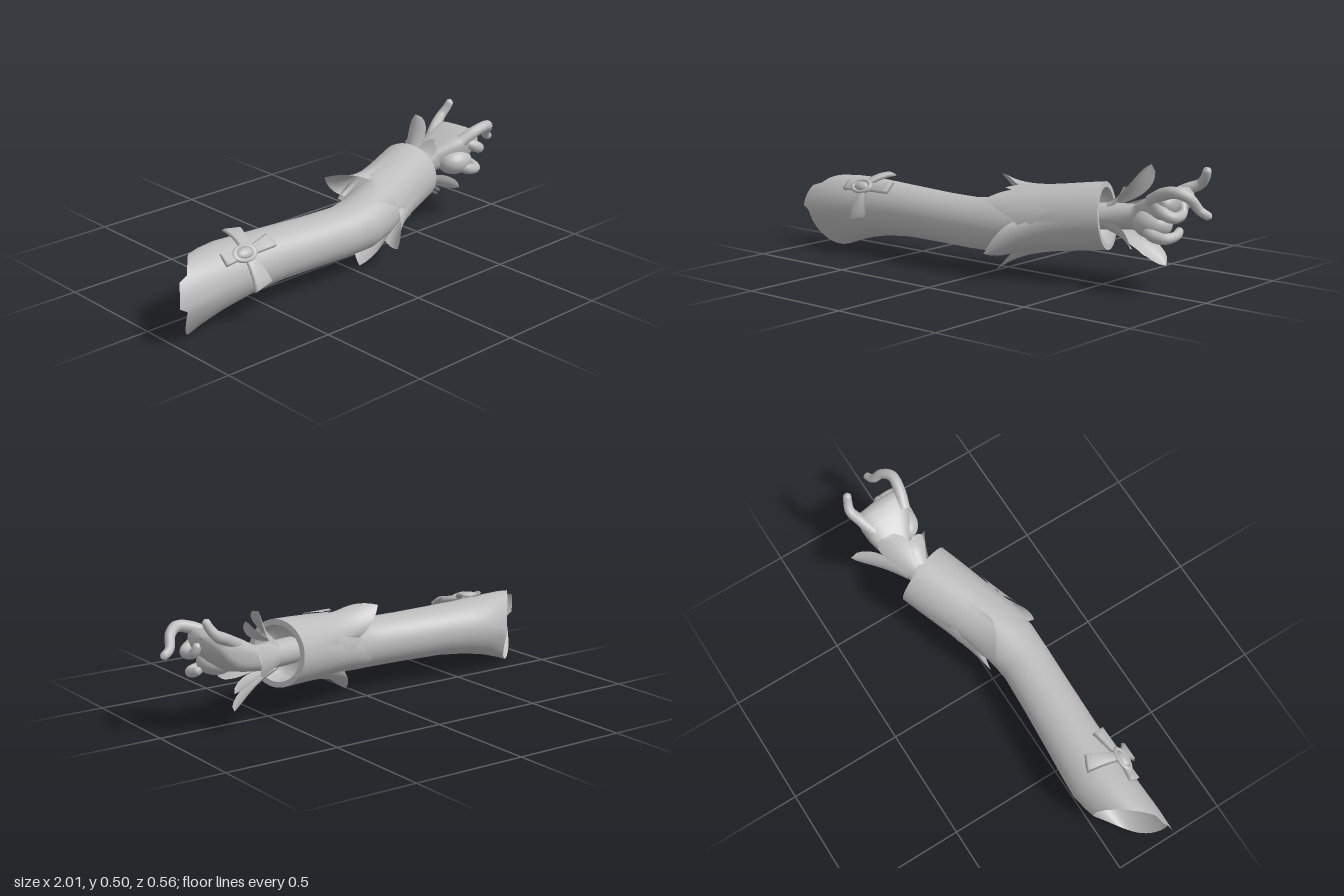
import * as THREE from 'three';

const V = (x, y, z) => new THREE.Vector3(x, y, z);
const grey = new THREE.MeshStandardMaterial({ color: 0xbcbcbc, side: THREE.DoubleSide });
grey.name = 'plain grey';

// Skin rows of points; closed rows wrap round
function loft(rows, closed = true) {
  const n = rows[0].length, pos = [], idx = [];
  rows.forEach(row => row.forEach(p => pos.push(p.x, p.y, p.z)));
  for (let i = 0; i < rows.length - 1; i++) {
    for (let j = 0; j < (closed ? n : n - 1); j++) {
      const a = i * n + j, b = i * n + (j + 1) % n, c = a + n, d = b + n;
      idx.push(a, b, c, b, d, c);
    }
  }
  const g = new THREE.BufferGeometry();
  g.setAttribute('position', new THREE.Float32BufferAttribute(pos, 3));
  g.setIndex(idx);
  g.computeVertexNormals();
  return g;
}

// Ring of points; oval with an exponent below 1 for squarer sections
const ring = (n, f) => Array.from({ length: n }, (_, j) => f(j / n * Math.PI * 2));
const soft = (v, e) => Math.sign(v) * Math.abs(v) ** e;
const oval = (c, w, u, n = 20, e = 1) => ring(n, a =>
  c.clone().addScaledVector(w, soft(Math.cos(a), e)).addScaledVector(u, soft(Math.sin(a), e)));

// Tapered round-ended finger along a smooth path
function finger(points, r0, r1) {
  const curve = new THREE.CatmullRomCurve3(points.map(p => V(...p)));
  const N = 28, fr = curve.computeFrenetFrames(N), len = curve.getLength(), rows = [];
  for (let i = 0; i <= N; i++) {
    const t = i / N, left = (1 - t) * len;
    let r = r0 + (r1 - r0) * t;
    if (left < r1) r *= Math.sqrt(Math.max(0.0001, 1 - (1 - left / r1) ** 2));
    rows.push(oval(curve.getPointAt(t), fr.normals[i].clone().multiplyScalar(r),
      fr.binormals[i].clone().multiplyScalar(r), 12));
  }
  return loft(rows);
}

// Round-ended petal from a base point to a tip, cupped around the wrist
function petal(base, tip, width, axisPoint) {
  const along = tip.clone().sub(base);
  const out = tip.clone().sub(axisPoint);
  out.addScaledVector(along, -out.dot(along) / along.lengthSq()).normalize();
  const side = along.clone().cross(out).normalize();
  const rows = [];
  for (let i = 0; i <= 14; i++) {
    const t = i / 14, w = width * (0.45 + 0.55 * Math.sin(Math.PI * t / 1.5)) * Math.sqrt(1 - t ** 5);
    rows.push(Array.from({ length: 7 }, (_, j) => {
      const s = j / 3 - 1;
      return base.clone().addScaledVector(along, t).addScaledVector(side, s * w)
        .addScaledVector(out, -0.015 * Math.sin(Math.PI * t) - 0.3 * w * s * s);
    }));
  }
  return loft(rows, false);
}

export function createModel() {
  const model = new THREE.Group();
  model.name = 'sleevedArm';
  const add = (name, geo, parent = model) => {
    const m = new THREE.Mesh(geo, grey);
    m.name = name;
    parent.add(m);
    return m;
  };

  // Sleeve: x, y, z, height radius, depth radius, slant, pinch underneath, front tab
  const sleeve = [
    [-0.88, 0.165, 0.118, 0.16, 0.12, 0.1, 0.35, 0.035], [-0.82, 0.178, 0.11, 0.152, 0.127, 0.085, 0.25, 0],
    [-0.72, 0.193, 0.1, 0.137, 0.13, 0.05, 0.1, 0], [-0.6, 0.202, 0.098, 0.122, 0.123, 0.015, 0, 0],
    [-0.45, 0.207, 0.103, 0.112, 0.118, 0, 0, 0], [-0.25, 0.205, 0.113, 0.108, 0.113, 0, 0, 0],
    [-0.08, 0.205, 0.12, 0.108, 0.111, 0, 0, 0], [0.02, 0.212, 0.115, 0.114, 0.116, -0.03, 0, 0],
    [0.12, 0.225, 0.09, 0.116, 0.114, -0.04, 0, 0], [0.25, 0.245, 0.045, 0.11, 0.108, -0.04, 0, 0],
  ];
  add('sleeve', loft(sleeve.map(([x, y, z, h, d, k, pinch, tab]) => ring(48, a => {
    const c = Math.cos(a), s = Math.sin(a);
    const bump = a > 0.1 && a < 0.8 ? tab : 0;
    return V(x - k * c - bump, y + h * s, z + d * c * (1 - pinch * Math.max(0, -s)));
  }))));

  // Cuff: a wide tube whose rear edge flares into pointed leaves
  const A = V(0.04, 0.235, 0.115), axis = V(0.445, 0.045, -0.165), L = axis.length();
  axis.normalize();
  const U = V(0, 1, 0).addScaledVector(axis, -axis.y).normalize();
  const W = U.clone().cross(axis).negate();
  const cuffPoint = (s, r, a) => A.clone().addScaledVector(axis, s)
    .addScaledVector(W, r * Math.cos(a)).addScaledVector(U, r * Math.sin(a));
  // Leaf angle in degrees, reach, flare
  const leaves = [[-33, 0.12, 0.08], [-90, 0.14, 0.09], [48, 0.13, 0.005],
    [132, 0.13, 0.1], [205, 0.12, 0.03]];
  const cuffRows = [];
  for (let i = 0; i <= 16; i++) {
    const v = i / 16;
    cuffRows.push(ring(120, a => {
      let reach = 0, flare = 0;
      for (const [deg, len, out] of leaves) {
        const da = a - deg * Math.PI / 180;
        const off = Math.abs(Math.atan2(Math.sin(da), Math.cos(da)));
        const h = Math.max(0, 1 - off / 0.62) ** 0.8;
        reach = Math.max(reach, len * h);
        flare = Math.max(flare, out * h);
      }
      const s0 = 0.11 - reach;
      const r = 0.127 + 0.013 * Math.sin(v * Math.PI / 2) + flare * (1 - v) ** 4;
      return cuffPoint(s0 + (L - s0) * v, r, a);
    }));
  }
  add('cuff', loft(cuffRows));
  const cuffBand = sr => loft(sr.map(([s, r]) => ring(48, a => cuffPoint(s, r, a))));
  add('cuffRim', cuffBand([[L, 0.14], [L, 0.117]]));
  add('cuffLining', cuffBand([[L, 0.117], [L - 0.09, 0.112], [L - 0.1, 0.04]]));

  // Raised leaf plates lying over the cuff: angle, start, length
  for (const [deg, s, len] of [[20, 0.07, 0.2], [75, 0.06, 0.2], [-35, 0.1, 0.15], [165, 0.06, 0.18]]) {
    const rows = [];
    for (let i = 0; i <= 12; i++) {
      const t = i / 12, half = 0.36 * Math.sin(Math.PI * t) * (1 + 0.2 * Math.cos(t * 19));
      rows.push(Array.from({ length: 7 }, (_, j) =>
        cuffPoint(s + len * t, 0.142, deg * Math.PI / 180 + half * (j / 3 - 1))));
    }
    add('cuffLeaf', loft(rows, false));
  }

  // Wrist and palm: centre, half width, half thickness
  const across = V(0.08, 0, 1).normalize();
  const palm = [
    [0.35, 0.27, 0, 0.06, 0.055], [0.5, 0.28, -0.055, 0.058, 0.055],
    [0.6, 0.285, -0.082, 0.055, 0.052], [0.66, 0.3, -0.082, 0.072, 0.06],
    [0.72, 0.322, -0.073, 0.1, 0.07], [0.77, 0.352, -0.066, 0.115, 0.066],
    [0.81, 0.382, -0.064, 0.118, 0.05], [0.83, 0.398, -0.064, 0.105, 0.032],
    [0.838, 0.404, -0.064, 0.001, 0.001],
  ];
  add('palm', loft(palm.map(([x, y, z, w, t], i) => {
    const up = i < 3 ? V(0, 1, 0) : V(-0.5, 0.86, 0);
    return oval(V(x, y, z), across.clone().multiplyScalar(w), up.multiplyScalar(t), 32, i < 3 ? 1 : 0.7);
  })));
  const mound = add('thumbMound', new THREE.SphereGeometry(1, 20, 14));
  mound.scale.set(0.085, 0.06, 0.07);
  mound.position.set(0.74, 0.285, -0.005);

  // Fingers
  const fingers = {
    indexFinger: [[0.75, 0.38, 0.02], [0.82, 0.418, 0.042], [0.885, 0.432, 0.048],
      [0.93, 0.41, 0.02], [0.955, 0.36, -0.015], [1.0, 0.335, -0.03]],
    middleFinger: [[0.78, 0.37, 0.02], [0.825, 0.345, 0.05], [0.86, 0.328, 0.03],
      [0.86, 0.335, -0.035], [0.845, 0.38, -0.055]],
    thumb: [[0.72, 0.28, 0.02], [0.78, 0.25, 0.05], [0.83, 0.242, 0.042],
      [0.85, 0.25, -0.01], [0.84, 0.27, -0.052]],
    littleFinger: [[0.73, 0.37, -0.14], [0.79, 0.408, -0.17], [0.84, 0.432, -0.19],
      [0.868, 0.465, -0.182], [0.885, 0.505, -0.17]],
  };
  for (const [name, path] of Object.entries(fingers)) add(name, finger(path, 0.029, 0.017));

  // Petals round the wrist: tip, half width
  const hub = V(0.5, 0.28, -0.055);
  const tips = [[0.63, 0.495, -0.15, 0.065], [0.7, 0.315, -0.28, 0.065], [0.73, 0.095, -0.12, 0.055],
    [0.69, 0.19, 0.075, 0.04], [0.6, 0.42, 0.0, 0.045], [0.68, 0.14, -0.04, 0.035]];
  for (const [x, y, z, w] of tips) {
    const out = V(0, y - hub.y, z - hub.z).normalize();
    add('wristPetal', petal(hub.clone().addScaledVector(out, 0.062), V(x, y, z), w, hub));
  }

  // Ribbon ornament, bent to follow the sleeve
  const bow = new THREE.Group();
  bow.name = 'ribbonOrnament';
  bow.position.set(-0.66, 0.3, 0.2);
  bow.rotation.x = -Math.PI / 4;
  model.add(bow);
  const wrap = g => {
    const p = g.attributes.position;
    for (let i = 0; i < p.count; i++) {
      const y = p.getY(i);
      p.setZ(i, p.getZ(i) - y * y / (y > 0 ? 0.27 : 0.5));
    }
    g.computeVertexNormals();
    return g;
  };
  // Blade angle, length, half width at the end
  for (const [deg, len, w] of [[72, 0.14, 0.038], [8, 0.145, 0.034], [-78, 0.145, 0.048], [178, 0.11, 0.03]]) {
    const a = deg * Math.PI / 180, rows = [];
    for (let i = 0; i <= 6; i++) {
      const t = i / 6, half = 0.016 + (w - 0.016) * t, x = len * t;
      rows.push([[-1, 0], [-0.8, 0.014], [0.8, 0.014], [1, 0], [0, -0.004]].map(([s, z]) =>
        V(x * Math.cos(a) - s * half * Math.sin(a), x * Math.sin(a) + s * half * Math.cos(a), z)));
    }
    const mid = V(len * Math.cos(a), len * Math.sin(a), 0.005);
    rows.push(rows[6].map(() => mid.clone()));
    add('ribbonBlade', wrap(loft(rows)), bow);
  }
  const knot = add('ribbonKnot', new THREE.TorusGeometry(0.034, 0.009, 10, 28), bow);
  knot.scale.set(1.4, 0.9, 1);
  knot.position.set(-0.01, 0, 0.01);
  const gem = add('ribbonGem', new THREE.SphereGeometry(0.03, 18, 12), bow);
  gem.scale.set(1.3, 0.8, 0.6);
  gem.position.set(-0.01, 0, 0.01);

  return model;
}
